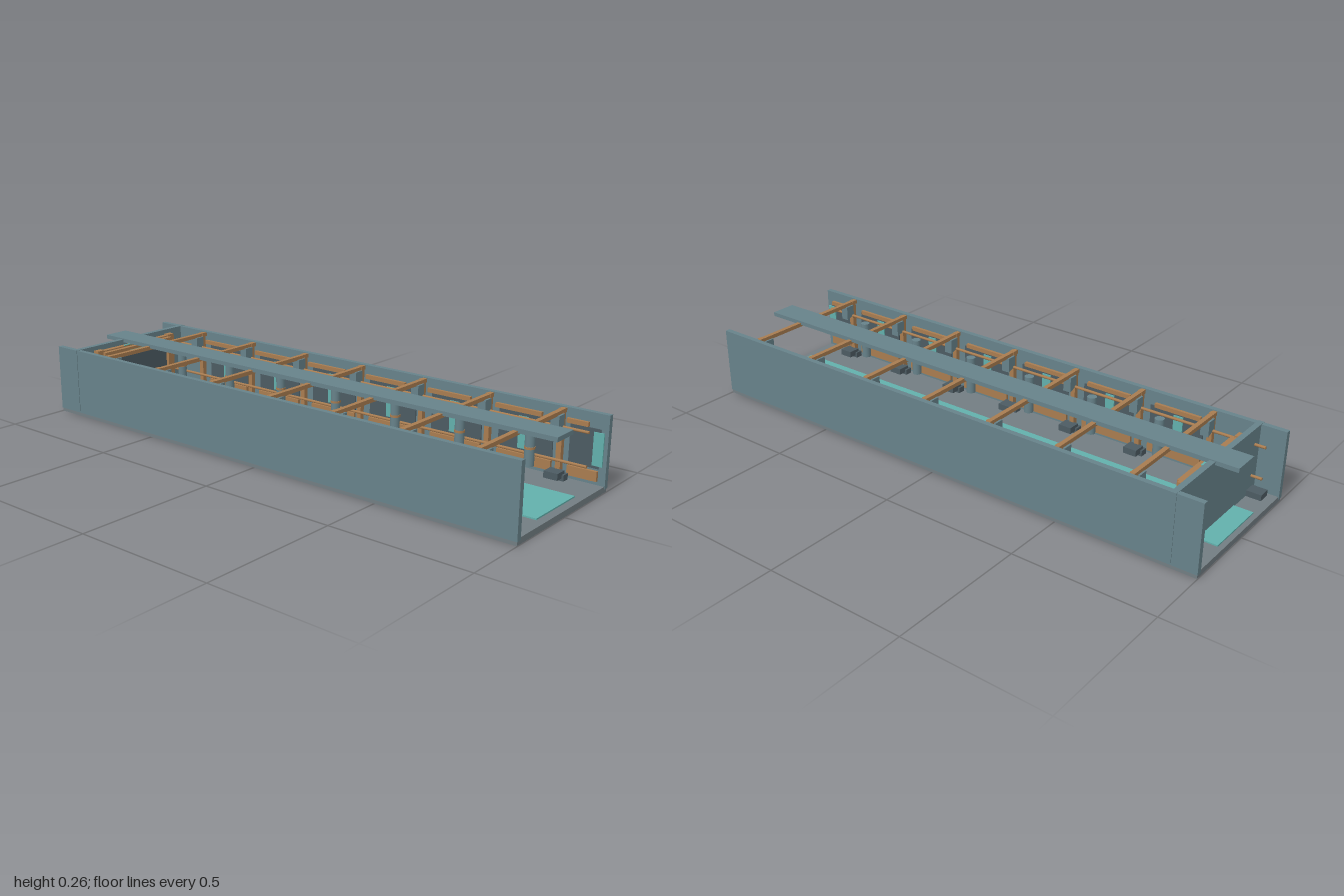
import * as THREE from 'three';

const mat = (color) => new THREE.MeshStandardMaterial({ color });
const STEEL = mat(0x67828a), FLOOR = mat(0x727d82), DARK = mat(0x4c5b62);
const BROWN = mat(0xa87c50), CYAN = mat(0x62b0ac);

export function createModel() {
  const root = new THREE.Group();

  const add = (name, geometry, material, x, y, z) => {
    const mesh = new THREE.Mesh(geometry, material);
    mesh.name = name;
    mesh.position.set(x, y, z);
    root.add(mesh);
    return mesh;
  };
  // Box given by its lower and upper limits on each axis
  const box = (name, material, [x0, x1], [y0, y1], [z0, z1]) =>
    add(name, new THREE.BoxGeometry(x1 - x0, y1 - y0, z1 - z0), material,
      (x0 + x1) / 2, (y0 + y1) / 2, (z0 + z1) / 2);
  // The same box on both sides, given for the +x side
  const pair = (name, material, [x0, x1], y, z) => {
    box(name + 'Left', material, [x0, x1], y, z);
    box(name + 'Right', material, [-x1, -x0], y, z);
  };

  // Shell: floor, carpet, side walls, ceiling spine
  box('floor', FLOOR, [-0.275, 0.275], [0, 0.021], [-0.998, 0.998]);
  box('carpet', CYAN, [-0.118, 0.118], [0.021, 0.026], [-0.98, 0.97]);
  pair('sideWall', STEEL, [0.258, 0.277], [0.013, 0.255], [-1, 1]);
  box('ceilingSpine', STEEL, [-0.048, 0.048], [0.245, 0.26], [-0.99, 0.985]);

  // Rear bulkhead with a framed door
  box('bulkhead', STEEL, [-0.279, 0.279], [0.02, 0.256], [-0.912, -0.892]);
  box('door', DARK, [-0.162, 0.162], [0.033, 0.212], [-0.892, -0.878]);
  pair('doorPost', BROWN, [0.165, 0.196], [0.026, 0.24], [-0.892, -0.868]);
  box('doorHeader', BROWN, [-0.196, 0.196], [0.21, 0.236], [-0.892, -0.872]);
  box('doorLintel', BROWN, [-0.172, 0.172], [0.21, 0.232], [-0.875, -0.855]);
  box('doorLamp', CYAN, [-0.052, 0.052], [0.214, 0.221], [-0.856, -0.851]);
  box('headerLamp', CYAN, [-0.06, 0.06], [0.233, 0.239], [-0.88, -0.872]);

  // Bracket outline in the x-y plane, with a sloping underside
  const bracketShape = new THREE.Shape([
    new THREE.Vector2(-0.018, -0.013), new THREE.Vector2(0.018, 0),
    new THREE.Vector2(0.018, 0.04), new THREE.Vector2(-0.018, 0.04)]);
  const bracketGeo = new THREE.ExtrudeGeometry(bracketShape, { depth: 0.03, bevelEnabled: false });
  bracketGeo.translate(0, 0, -0.015);

  const tankGeo = new THREE.CylinderGeometry(0.017, 0.017, 0.14, 16);
  const bandGeo = new THREE.CylinderGeometry(0.0185, 0.0185, 0.008, 16);
  const pitch = 0.266;

  for (let i = 0; i < 7; i++) {
    // Rib: cross beam, posts, brackets and foot blocks
    const z = -0.75 + i * pitch;
    box('crossBeam', BROWN, [-0.258, 0.258], [0.238, 0.252], [z - 0.008, z + 0.008]);
    pair('post', BROWN, [0.232, 0.25], [0.026, 0.253], [z - 0.009, z + 0.009]);
    pair('footBlock', DARK, [0.189, 0.236], [0.03, 0.053], [z - 0.025, z + 0.025]);
    pair('footStep', DARK, [0.218, 0.246], [0.021, 0.042], [z - 0.032, z + 0.032]);
    for (const s of [1, -1]) {
      const bracket = add('bracket', bracketGeo, STEEL, s * 0.213, 0.2, z);
      bracket.rotation.y = s > 0 ? 0 : Math.PI;
    }

    // Bay behind each rib: tank, wall panel, lamp and rails
    const c = z - 0.092;
    for (const s of [1, -1]) {
      add('tank', tankGeo, STEEL, s * 0.214, 0.118, c);
      add('tankBand', bandGeo, BROWN, s * 0.214, 0.11, c);
    }
    const mid = z + pitch / 2;
    const span = i < 6 ? [mid - 0.1, mid + 0.1] : [z + 0.025, 0.975];
    pair('wallPanel', DARK, [0.254, 0.2585], [0.075, 0.205], span);
    pair('wallLamp', CYAN, [0.25, 0.255], [0.085, 0.195], [mid - 0.025, mid + 0.01]);
    pair('lowerRail', BROWN, [0.246, 0.257], [0.035, 0.068], span);
    pair('upperRail', BROWN, [0.225, 0.236], [0.215, 0.23], [span[0], span[1] - 0.03]);
  }

  // Pipes running the full length through the bulkhead
  const pipeGeo = new THREE.CylinderGeometry(0.005, 0.005, 1.9, 10).rotateX(Math.PI / 2);
  for (const s of [1, -1])
    for (const y of [0.085, 0.198])
      add('pipe', pipeGeo, BROWN, s * 0.225, y, 0);

  // Small blocks behind the bulkhead
  pair('rearBlock', DARK, [0.2, 0.245], [0.021, 0.042], [-0.965, -0.912]);
  return root;
}
